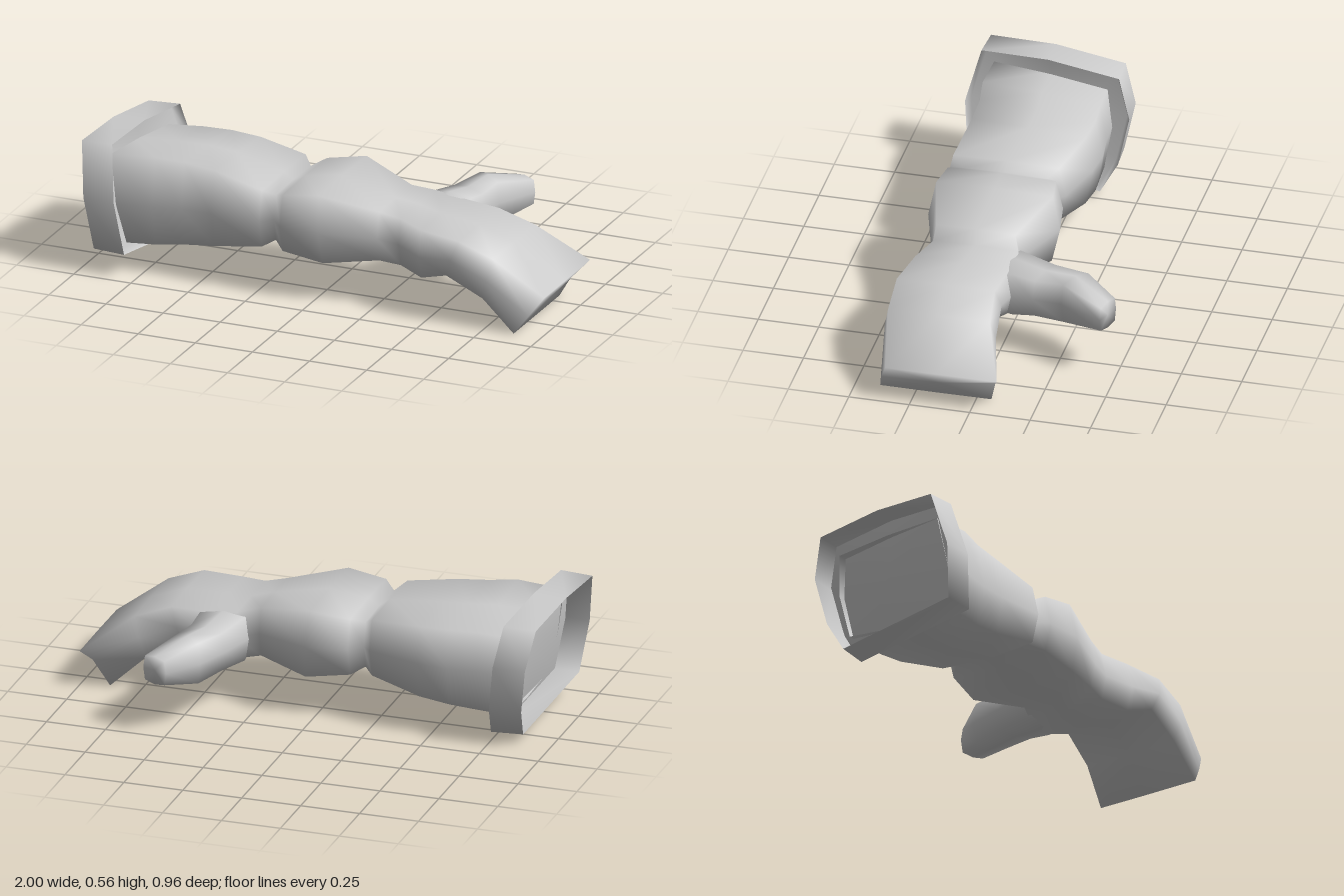
import * as THREE from 'three';

const SIDES = 8;
const soft = (v, p) => Math.sign(v) * Math.pow(Math.abs(v), p);

// Skin a list of closed rings of [x, y, z] points; optionally close the last ring.
function loft(name, rings, cap = false) {
  const n = rings[0].length;
  const pos = rings.flat(2);
  const index = [];
  for (let i = 0; i < rings.length - 1; i++) {
    for (let j = 0; j < n; j++) {
      const a = i * n + j, b = i * n + (j + 1) % n;
      index.push(a, a + n, b, b, a + n, b + n);
    }
  }
  if (cap) {
    const last = rings[rings.length - 1];
    const base = (rings.length - 1) * n, centre = rings.length * n;
    for (let k = 0; k < 3; k++) pos.push(last.reduce((sum, p) => sum + p[k], 0) / n);
    for (let j = 0; j < n; j++) index.push(base + j, centre, base + (j + 1) % n);
  }
  const geo = new THREE.BufferGeometry();
  geo.setAttribute('position', new THREE.Float32BufferAttribute(pos, 3));
  geo.setIndex(index);
  geo.computeVertexNormals();
  const mesh = new THREE.Mesh(geo, new THREE.MeshStandardMaterial({
    color: 0xcccccc, side: THREE.DoubleSide,
  }));
  mesh.name = name;
  return mesh;
}

// Eight-point ring of corners and mid-sides: c runs across the width, s bottom to top.
function ring(p, place) {
  return Array.from({ length: SIDES }, (_, j) => {
    const a = j / SIDES * Math.PI * 2;
    return place(soft(Math.cos(a), p), soft(Math.sin(a), p));
  });
}
const mix = (a, b, t) => THREE.MathUtils.lerp(a, b, (t + 1) / 2);

// Section across the arm, flatter on top than below:
// x at bottom and top, y range, z range, squareness, slant, tilt of the top.
const armRing = ([xb, xt, y0, y1, z0, z1, p = 0.35, slant = 0, tilt = 0]) =>
  ring(p, (c, s) => [
    mix(xb, xt, s),
    mix(y0, y1, s > 0 ? soft(s, 0.3) : s) + tilt * c * Math.max(s, 0),
    mix(z0, z1, c) - slant * s,
  ]);

// Section across the thumb: left x,z, right x,z, y range.
const thumbRing = ([xl, zl, xr, zr, y0, y1]) =>
  ring(0.45, (c, s) => [mix(xl, xr, c), mix(y0, y1, s), mix(zl, zr, c)]);

export function createModel() {
  const group = new THREE.Group();
  group.name = 'glovedHand';

  // Forearm and hand in one skin, pinched at the wrist, fingers bent down
  const arm = [
    [-0.82, -0.90, 0.10, 0.475, -0.13, 0.40, 0.3, 0, 0.025],
    [-0.70, -0.70, 0.11, 0.49, -0.14, 0.40, 0.3, 0, 0.025],
    [-0.58, -0.58, 0.12, 0.485, -0.155, 0.385, 0.35, 0, 0.02],
    [-0.45, -0.45, 0.135, 0.475, -0.145, 0.385, 0.35, 0, 0.015],
    [-0.23, -0.23, 0.18, 0.44, -0.09, 0.405],
    [-0.19, -0.19, 0.20, 0.41, -0.045, 0.35],
    [-0.14, -0.14, 0.175, 0.435, -0.10, 0.405],
    [0.04, 0.02, 0.15, 0.46, -0.13, 0.415],
    [0.26, 0.26, 0.18, 0.405, -0.025, 0.345],
    [0.35, 0.35, 0.17, 0.385, -0.06, 0.335],
    [0.46, 0.46, 0.15, 0.37, -0.06, 0.385],
    [0.58, 0.64, 0.195, 0.36, -0.035, 0.415, 0.3],
    [0.74, 0.79, 0.12, 0.305, -0.05, 0.41, 0.25],
    [0.88, 0.995, 0.0, 0.155, -0.09, 0.38, 0.06, 0.025],
  ];
  group.add(loft('forearmAndHand', arm.map(armRing), true));

  // Thumb, rooted in the palm and pointing to the back
  const thumb = [
    [0.31, 0.08, 0.52, 0.06, 0.19, 0.34],
    [0.30, -0.04, 0.52, -0.05, 0.163, 0.382],
    [0.35, -0.20, 0.52, -0.14, 0.175, 0.362],
    [0.40, -0.35, 0.53, -0.26, 0.17, 0.372],
    [0.50, -0.48, 0.61, -0.44, 0.207, 0.327],
  ];
  group.add(loft('thumb', thumb.map(thumbRing), true));

  // Cuff: leaning angular band, hollow at both ends around a recessed wall
  const outline = [
    [0.48, 0.325], [0.42, 0.55], [0.14, 0.557], [-0.16, 0.525],
    [-0.21, 0.36], [-0.17, 0.16], [-0.10, 0.035], [0.46, 0.10],
  ];
  const cuffRing = (dx, scale) => outline.map(([z, y]) => [
    -1 + (0.54 - y) * 0.16 + (0.42 - z) * 0.07 + dx,
    0.3 + (y - 0.3) * scale,
    0.135 + (z - 0.135) * scale,
  ]);
  const rim = cuffRing(0.135, 1);
  group.add(loft('cuff', [cuffRing(0, 0.98), rim]));
  group.add(loft('cuffWall', [rim, cuffRing(0.1, 0.95)], true));

  return group;
}
